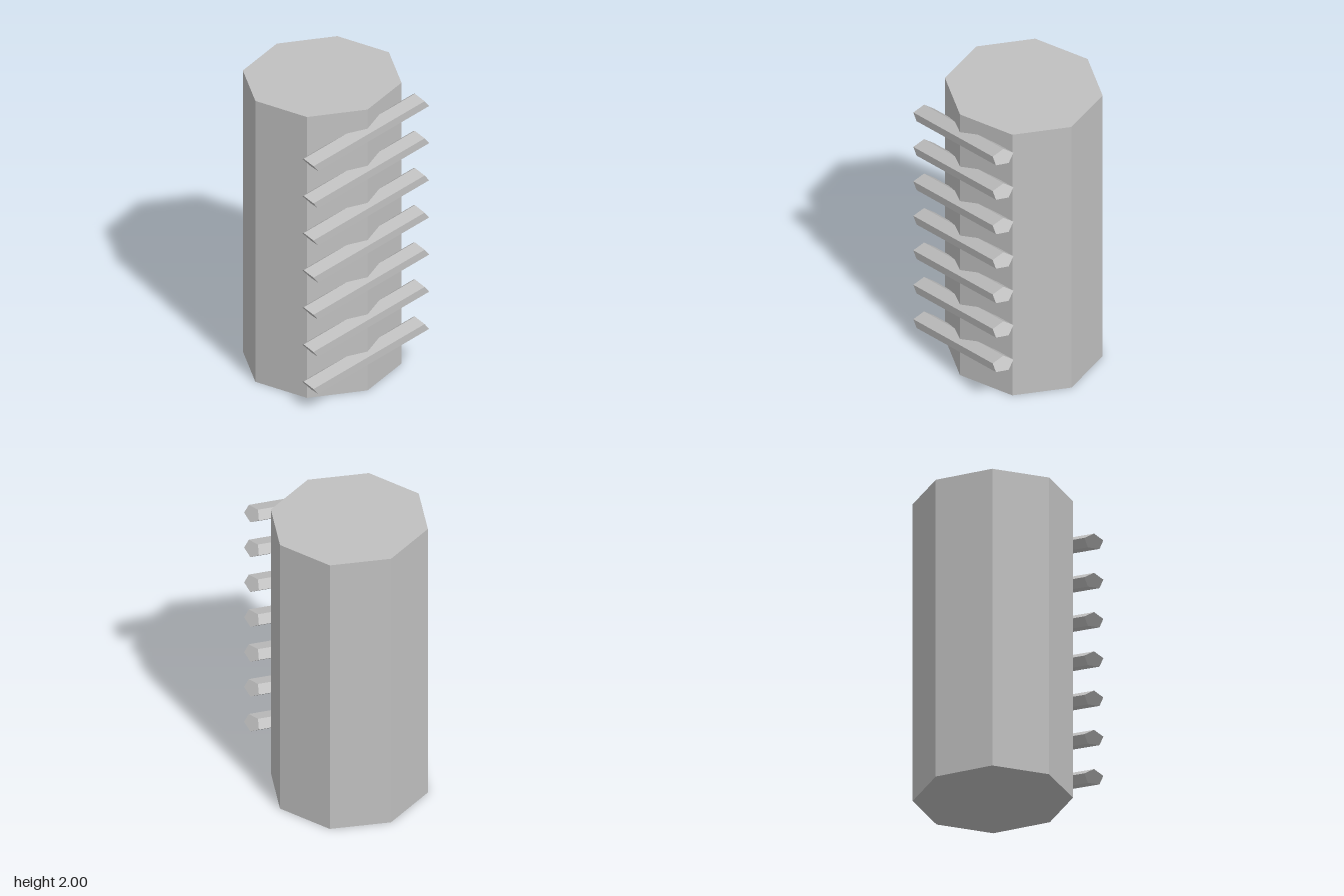
import * as THREE from 'three';

export function createModel() {
  const model = new THREE.Group();
  model.name = 'ladderColumn';
  const grey = new THREE.MeshStandardMaterial({ color: 0xc0c0c0, flatShading: true });
  grey.name = 'grey';

  // Eight-sided upright column, slightly flattened front to back
  const columnGeometry = new THREE.CylinderGeometry(0.5, 0.5, 2, 8);
  columnGeometry.scale(1, 1, 0.96);
  const column = new THREE.Mesh(columnGeometry, grey);
  column.name = 'column';
  column.position.set(0, 1, -0.02);
  model.add(column);

  // Slanted five-sided rung with a flat front and skewed ends
  const rungGeometry = new THREE.CylinderGeometry(1, 1, 2, 5);
  rungGeometry.applyMatrix4(new THREE.Matrix4().makeBasis(
    new THREE.Vector3(-0.029, 0.039, 0),
    new THREE.Vector3(0.416, 0.0875, 0),
    new THREE.Vector3(0, 0, -0.079),
  ));

  // Seven evenly spaced rungs up the front
  for (let i = 0; i < 7; i++) {
    const rung = new THREE.Mesh(rungGeometry, grey);
    rung.name = `rung${i + 1}`;
    rung.position.set(0, 0.243 + i * 0.2645, 0.436);
    model.add(rung);
  }
  return model;
}
